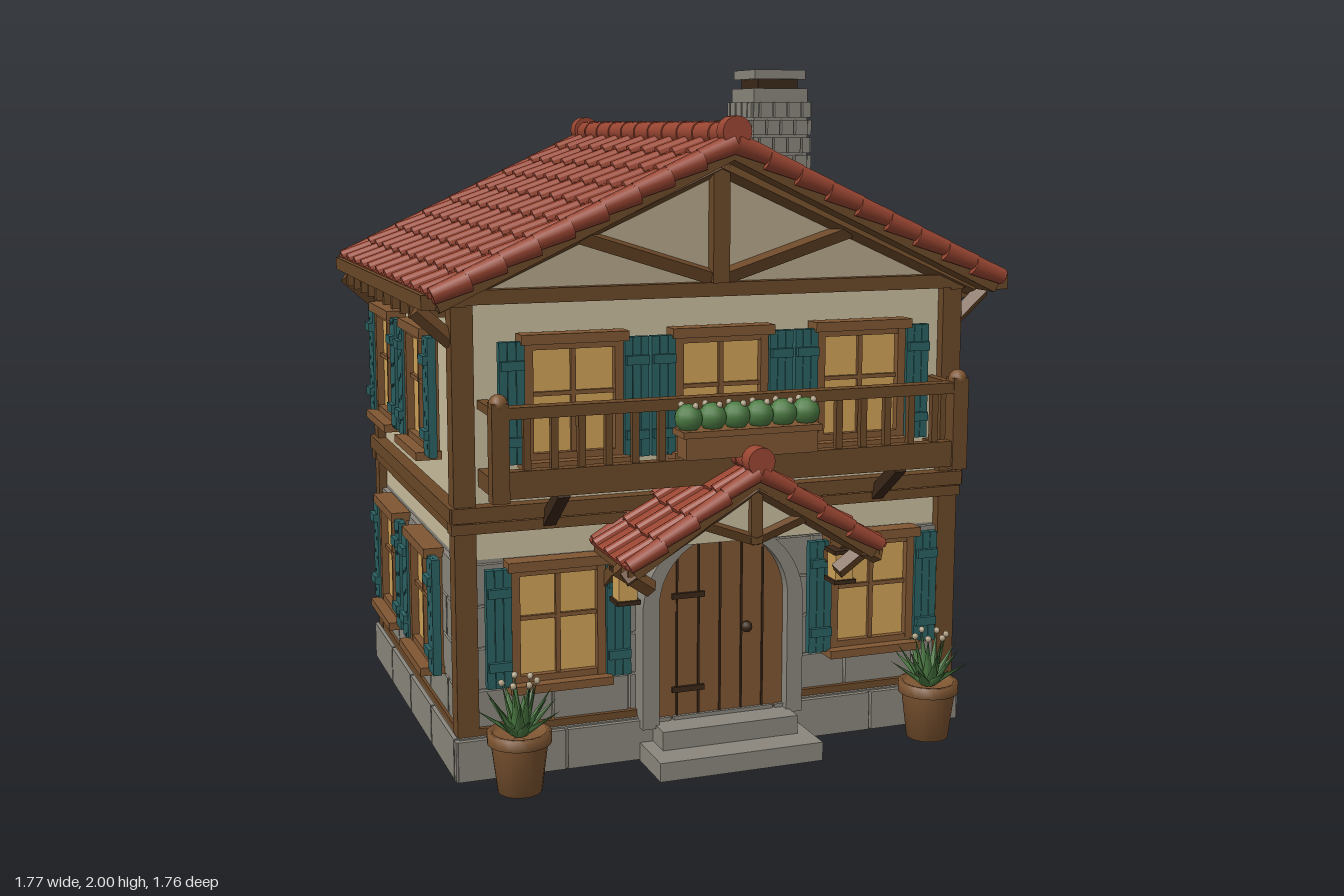
import * as THREE from 'three';

const M = {};
for (const [name, hex] of Object.entries({
  stone: 0x8a867d, plaster: 0xcabd9e, gablePlaster: 0xb5a68a, timber: 0x6b4828, warmWood: 0x7f5632,
  darkWood: 0x3a2818, roofTile: 0x9a4632, shutterTeal: 0x2c6162, windowGlow: 0xd0a258, leaf: 0x4b7a42,
})) { M[name] = new THREE.MeshStandardMaterial({ color: hex }); M[name].name = name; }

function add(parent, name, geo, mat, x = 0, y = 0, z = 0) {
  const m = new THREE.Mesh(geo, mat);
  m.name = name;
  m.position.set(x, y, z);
  parent.add(m);
  return m;
}
const box = (p, name, mat, w, h, d, x, y, z) => add(p, name, new THREE.BoxGeometry(w, h, d), mat, x, y, z);
function group(parent, name, x = 0, y = 0, z = 0, ry = 0) {
  const g = new THREE.Group();
  g.name = name;
  g.position.set(x, y, z);
  g.rotation.y = ry;
  parent.add(g);
  return g;
}
// Square timber between two points
function beam(p, name, mat, a, b, t, d = t) {
  const A = new THREE.Vector3(...a), B = new THREE.Vector3(...b);
  const m = add(p, name, new THREE.BoxGeometry(t, d, A.distanceTo(B)), mat);
  m.position.copy(A).add(B).multiplyScalar(0.5);
  m.quaternion.setFromUnitVectors(new THREE.Vector3(0, 0, 1), B.sub(A).normalize());
  return m;
}

// Rows of staggered masonry on a wall facing +z, z is the wall plane
function masonry(p, L, y0, rows, h, bw, depth, z) {
  const g = group(p, 'masonry');
  for (let r = 0; r < rows; r++) {
    let x = -L / 2, next = x + bw * (r % 2 ? 0.5 : 1);
    while (x < L / 2 - 0.01) {
      const e = Math.min(next, L / 2), w = e - x;
      box(g, 'stoneBlock', M.stone, w - 0.008, h - 0.008, depth, x + w / 2, y0 + (r + 0.5) * h, z + depth / 2);
      x = e; next = e + bw;
    }
  }
}

// Two-light window with lintel, sill and a pair of batten shutters
function makeWindow(p, x, y, w = 0.26, h = 0.33) {
  const g = group(p, 'window', x, y, 0);
  box(g, 'glass', M.windowGlow, w, h, 0.009, 0, 0, 0.028);
  for (const s of [-1, 1]) {
    box(g, 'frameSide', M.warmWood, 0.024, h, 0.04, s * w / 2, 0, 0.035);
    box(g, 'frameRail', M.warmWood, w, 0.022, 0.036, 0, s * (h / 2 - 0.01), 0.035);
    const sh = group(g, 'shutter', s * (w / 2 + 0.05), 0, 0);
    for (let i = -1; i <= 1; i++) box(sh, 'shutterPlank', M.shutterTeal, 0.023, h + 0.01, 0.024, i * 0.0245, 0, 0.05);
    for (const t of [-1, 1]) box(sh, 'shutterBatten', M.shutterTeal, 0.066, 0.026, 0.014, 0, t * h * 0.32, 0.068);
  }
  box(g, 'mullion', M.warmWood, 0.014, h, 0.016, 0, 0, 0.036);
  box(g, 'glazingBar', M.warmWood, w, 0.012, 0.014, 0, 0.02, 0.036);
  box(g, 'lintel', M.warmWood, w + 0.05, 0.028, 0.06, 0, h / 2 + 0.01, 0.042);
  box(g, 'sill', M.warmWood, w + 0.05, 0.024, 0.075, 0, -h / 2 - 0.01, 0.05);
}

// Pantile gable roof: rows of rolled tiles, verge rolls and ridge caps
function tiledRoof(parent, name, { y, z = 0, angle, len, halfZ, rows, cols, roll, cap, thick }) {
  const roof = group(parent, name, 0, y, z);
  const step = len / rows, pitch = 2 * halfZ / cols;
  const shape = new THREE.Shape();
  shape.moveTo(-halfZ, 0);
  for (let c = 0; c < cols; c++) {
    const x0 = -halfZ + c * pitch, mid = x0 + pitch / 2;
    shape.lineTo(x0, 0.016);
    for (let k = 0; k <= 6; k++) {
      const a = Math.PI * (1 - k / 6);
      shape.lineTo(mid + roll * Math.cos(a), 0.012 + roll * Math.sin(a));
    }
    shape.lineTo(x0 + pitch, 0.016);
  }
  shape.lineTo(halfZ, 0);
  const rowGeo = new THREE.ExtrudeGeometry(shape, { depth: step * 1.12, bevelEnabled: false }).rotateY(Math.PI / 2);
  const vergeGeo = new THREE.CylinderGeometry(roll * 1.1, roll * 1.4, step * 1.05, 10).rotateZ(Math.PI / 2);
  for (const ry of [0, Math.PI]) {
    const slope = group(group(roof, 'roofSide', 0, 0, 0, ry), 'slope');
    slope.rotation.z = -angle;
    box(slope, 'roofDeck', M.timber, len, thick, halfZ * 2 - 0.02, len / 2, -thick / 2, 0);
    for (let i = 0; i < rows; i++) {
      add(slope, 'tileRow', rowGeo, M.roofTile, i * step, 0, 0).rotation.z = 0.11;
      for (const s of [-1, 1])
        add(slope, 'vergeTile', vergeGeo, M.roofTile, (i + 0.5) * step, 0.012, s * (halfZ - 0.01)).rotation.z = Math.PI + 0.08;
    }
  }
  const n = cols, seg = 2 * halfZ / n;
  for (let i = 0; i < n; i++)
    add(roof, 'ridgeTile', new THREE.CylinderGeometry(cap, cap * 0.9, seg * 1.04, 14).rotateX(Math.PI / 2), M.roofTile, 0, 0.034, -halfZ + (i + 0.5) * seg);
  for (const s of [-1, 1])
    add(roof, 'ridgeEnd', new THREE.CylinderGeometry(cap * 1.2, cap * 1.2, 0.05, 16).rotateX(Math.PI / 2), M.roofTile, 0, 0.04, s * (halfZ - 0.015));
}

// Balcony with balusters, braces and flower box, on a wall facing +z
function balcony(p) {
  const g = group(p, 'balcony');
  box(g, 'balconyFloor', M.darkWood, 1.38, 0.03, 0.18, 0, 0.855, 0.65);
  box(g, 'balconyFascia', M.timber, 1.4, 0.075, 0.035, 0, 0.872, 0.738);
  box(g, 'topRail', M.timber, 1.42, 0.032, 0.045, 0, 1.067, 0.738);
  for (let i = 1; i < 18; i++) box(g, 'baluster', M.timber, 0.02, 0.17, 0.02, -0.69 + i * 1.38 / 18, 0.975, 0.738);
  for (const s of [-1, 1]) {
    box(g, 'railPost', M.timber, 0.048, 0.27, 0.048, s * 0.69, 0.96, 0.738);
    add(g, 'postKnob', new THREE.SphereGeometry(0.027, 12, 8), M.warmWood, s * 0.69, 1.092, 0.738);
    box(g, 'sideRail', M.timber, 0.03, 0.025, 0.17, s * 0.69, 1.065, 0.65);
    box(g, 'sideJoist', M.timber, 0.03, 0.05, 0.17, s * 0.69, 0.86, 0.65);
    beam(g, 'balconyBrace', M.darkWood, [s * 0.51, 0.73, 0.585], [s * 0.51, 0.84, 0.73], 0.035);
  }
  box(g, 'flowerBox', M.warmWood, 0.39, 0.07, 0.075, 0, 0.96, 0.805);
  box(g, 'flowerBoxRim', M.warmWood, 0.41, 0.018, 0.09, 0, 0.995, 0.805);
  for (let i = 0; i < 6; i++) {
    const x = -0.175 + i * 0.07;
    add(g, 'bush', new THREE.SphereGeometry(0.04, 10, 8), M.leaf, x, 1.035, 0.803);
    for (const k of [-1, 1]) add(g, 'blossom', new THREE.SphereGeometry(0.01, 6, 5), M.gablePlaster, x + k * 0.014, 1.07, 0.803 + k * 0.018);
  }
}

// Round-headed opening outline
function archShape(S, r, y0, spring) {
  const s = new S();
  s.moveTo(-r, y0);
  s.lineTo(r, y0);
  s.lineTo(r, spring);
  s.absarc(0, spring, r, 0, Math.PI, false);
  s.lineTo(-r, y0);
  return s;
}

function entrance(p) {
  const g = group(p, 'entrance');
  box(g, 'lowerStep', M.stone, 0.5, 0.055, 0.23, 0, 0.0275, 0.675);
  box(g, 'upperStep', M.stone, 0.42, 0.055, 0.13, 0, 0.0825, 0.635);
  const surround = archShape(THREE.Shape, 0.25, 0.1, 0.44);
  surround.holes.push(archShape(THREE.Path, 0.2, 0.11, 0.46));
  add(g, 'doorSurround', new THREE.ExtrudeGeometry(surround, { depth: 0.08, bevelEnabled: false, curveSegments: 16 }), M.stone, 0, 0, 0.56);
  add(g, 'door', new THREE.ExtrudeGeometry(archShape(THREE.Shape, 0.203, 0.108, 0.46), { depth: 0.04, bevelEnabled: false }), M.warmWood, 0, 0, 0.565);
  for (let i = -2; i <= 2; i++) {
    const x = i * 0.067, h = 0.34 + Math.sqrt(0.04 - x * x);
    box(g, 'plankSeam', M.darkWood, 0.006, h, 0.006, x, 0.115 + h / 2, 0.606);
  }
  for (const y of [0.2, 0.48]) box(g, 'strapHinge', M.darkWood, 0.1, 0.016, 0.01, -0.1, y, 0.61);
  add(g, 'doorKnob', new THREE.SphereGeometry(0.017, 10, 8), M.darkWood, 0.08, 0.37, 0.618);

  // Porch canopy
  tiledRoof(g, 'porchRoof', { y: 0.88, z: 0.735, angle: 0.575, len: 0.435, halfZ: 0.16, rows: 4, cols: 3, roll: 0.018, cap: 0.033, thick: 0.03 });
  const tri = new THREE.Shape([[-0.24, 0.695], [0.24, 0.695], [0, 0.85]].map(q => new THREE.Vector2(...q)));
  add(g, 'porchGable', new THREE.ExtrudeGeometry(tri, { depth: 0.02, bevelEnabled: false }), M.plaster, 0, 0, 0.835);
  box(g, 'porchKingPost', M.timber, 0.034, 0.16, 0.04, 0, 0.765, 0.855);
  for (const s of [-1, 1]) {
    beam(g, 'porchRafter', M.timber, [s * 0.38, 0.615, 0.86], [0, 0.845, 0.86], 0.035);
    beam(g, 'porchStrut', M.timber, [s * 0.15, 0.75, 0.86], [0, 0.695, 0.86], 0.025);
    box(g, 'porchBeam', M.timber, 0.05, 0.04, 0.3, s * 0.35, 0.645, 0.73);
    beam(g, 'porchBracket', M.timber, [s * 0.34, 0.53, 0.58], [s * 0.34, 0.64, 0.74], 0.035);
    beam(g, 'porchKnee', M.timber, [s * 0.38, 0.635, 0.8], [s * 0.28, 0.565, 0.8], 0.035);
    const l = group(g, 'lantern', s * 0.33, 0.56, 0.72);
    box(l, 'lanternGlass', M.windowGlow, 0.055, 0.08, 0.055, 0, 0, 0);
    for (const t of [-1, 1]) box(l, 'lanternPlate', M.darkWood, 0.07, 0.012, 0.07, 0, t * 0.044, 0);
    box(l, 'lanternHook', M.darkWood, 0.012, 0.04, 0.012, 0, 0.065, 0);
  }
}

function pottedPlant(p, x, z) {
  const g = group(p, 'pottedPlant', x, 0, z);
  const prof = [[0, 0], [0.062, 0], [0.08, 0.14], [0.09, 0.14], [0.09, 0.172], [0.075, 0.172], [0.072, 0.155], [0, 0.155]];
  add(g, 'pot', new THREE.LatheGeometry(prof.map(q => new THREE.Vector2(...q)), 20), M.warmWood);
  for (let i = 0; i < 20; i++) {
    const ring = i % 3, len = 0.13 + ring * 0.012;
    const leaf = add(group(g, 'leafArm', 0, 0.15, 0, i * 2.4), 'leaf', new THREE.ConeGeometry(0.02, len, 5).translate(0, len / 2, 0).scale(1, 1, 0.45), M.leaf, 0, 0.015, 0.015);
    leaf.rotation.x = 0.95 - ring * 0.36;
    if (ring === 2) add(leaf, 'blossom', new THREE.SphereGeometry(0.01, 6, 5), M.gablePlaster, 0, len, 0);
  }
}

function chimney(p) {
  const g = group(p, 'chimney', 0.488, 0, -0.195);
  box(g, 'chimneyCore', M.stone, 0.19, 0.48, 0.19, 0, 1.68, 0);
  for (let k = 0; k < 4; k++) masonry(group(g, 'chimneyFace', 0, 0, 0, k * Math.PI / 2), 0.21, 1.44, 8, 0.0575, 0.05, 0.013, 0.095);
  box(g, 'chimneyShoulder', M.stone, 0.19, 0.04, 0.19, 0, 1.92, 0);
  box(g, 'chimneyFlue', M.darkWood, 0.14, 0.04, 0.14, 0, 1.955, 0);
  box(g, 'chimneyCap', M.stone, 0.18, 0.03, 0.18, 0, 1.985, 0);
}

export function createModel() {
  const model = new THREE.Group();
  model.name = 'cottage';
  const house = group(model, 'house', 0, 0, -0.018);

  // Body
  box(house, 'foundation', M.stone, 1.56, 0.125, 1.2, 0, 0.0625, 0);
  box(house, 'lowerWall', M.stone, 1.51, 0.5, 1.12, 0, 0.375, 0);
  box(house, 'upperWall', M.plaster, 1.51, 0.74, 1.12, 0, 0.99, 0);
  const gable = new THREE.Shape([[-0.745, 1.34], [0.745, 1.34], [0.745, 1.37], [0, 1.725], [-0.745, 1.37]].map(q => new THREE.Vector2(...q)));
  add(house, 'gableWall', new THREE.ExtrudeGeometry(gable, { depth: 1.13, bevelEnabled: false }), M.gablePlaster, 0, 0, -0.565);

  // Gable ends
  for (const ry of [0, Math.PI]) {
    const f = group(house, ry ? 'backFace' : 'frontFace', 0, 0, 0, ry);
    masonry(f, 1.58, 0, 1, 0.125, 0.32, 0.015, 0.6);
    masonry(f, 1.46, 0.13, 4, 0.122, 0.23, 0.016, 0.56);
    const w = group(f, 'windows', 0, 0, 0.56);
    for (const x of [-0.44, 0, 0.44]) {
      makeWindow(w, x, 1.07);
      if (ry) makeWindow(w, x, 0.437);
      else if (x) makeWindow(w, Math.sign(x) * 0.49, 0.437, 0.25);
    }
    box(f, 'sillBeam', M.timber, 1.56, 0.022, 0.03, 0, 0.135, 0.575);
    box(f, 'floorBeamLow', M.timber, 1.58, 0.03, 0.05, 0, 0.722, 0.57);
    box(f, 'floorBeamHigh', M.timber, 1.58, 0.042, 0.06, 0, 0.763, 0.575);
    box(f, 'tieBeam', M.timber, 1.6, 0.04, 0.05, 0, 1.362, 0.575);
    box(f, 'kingPost', M.timber, 0.05, 0.36, 0.05, 0, 1.56, 0.58);
    for (const s of [-1, 1]) {
      beam(f, 'rafter', M.timber, [s * 0.82, 1.345, 0.58], [0, 1.715, 0.58], 0.045);
      beam(f, 'strut', M.timber, [s * 0.41, 1.52, 0.575], [0, 1.39, 0.575], 0.036);
      box(f, 'cornerPost', M.timber, 0.062, 1.24, 0.062, s * 0.75, 0.745, 0.56);
      beam(f, 'eaveBracket', M.timber, [s * 0.77, 1.24, 0.56], [s * 0.87, 1.33, 0.56], 0.035);
    }
    balcony(f);
  }

  // Eave sides
  for (const s of [-1, 1]) {
    const f = group(house, s > 0 ? 'leftFace' : 'rightFace', 0, 0, 0, s * Math.PI / 2);
    masonry(f, 1.23, 0, 1, 0.125, 0.3, 0.012, 0.78);
    masonry(f, 1.06, 0.13, 4, 0.122, 0.24, 0.016, 0.755);
    const w = group(f, 'windows', 0, 0, 0.755);
    for (const x of [-0.237, 0.237]) for (const y of [1.07, 0.437]) makeWindow(w, x, y);
    box(f, 'sillBeam', M.timber, 1.16, 0.022, 0.03, 0, 0.135, 0.765);
    box(f, 'floorBeamLow', M.timber, 1.18, 0.03, 0.05, 0, 0.722, 0.76);
    box(f, 'floorBeamHigh', M.timber, 1.2, 0.042, 0.06, 0, 0.763, 0.765);
    box(f, 'wallPlate', M.timber, 1.2, 0.035, 0.04, 0, 1.355, 0.76);
    box(f, 'eaveBeam', M.timber, 1.37, 0.04, 0.04, 0, 1.362, 0.86);
    for (let i = 0; i < 9; i++) box(f, 'rafterTail', M.timber, 0.025, 0.045, 0.11, (i - 4) * 0.125, 1.325, 0.82);
  }

  tiledRoof(house, 'mainRoof', { y: 1.765, angle: 0.44, len: 0.935, halfZ: 0.705, rows: 9, cols: 11, roll: 0.022, cap: 0.036, thick: 0.035 });
  chimney(house);
  entrance(house);
  for (const s of [-1, 1]) pottedPlant(model, s * 0.635, 0.69);
  return model;
}
